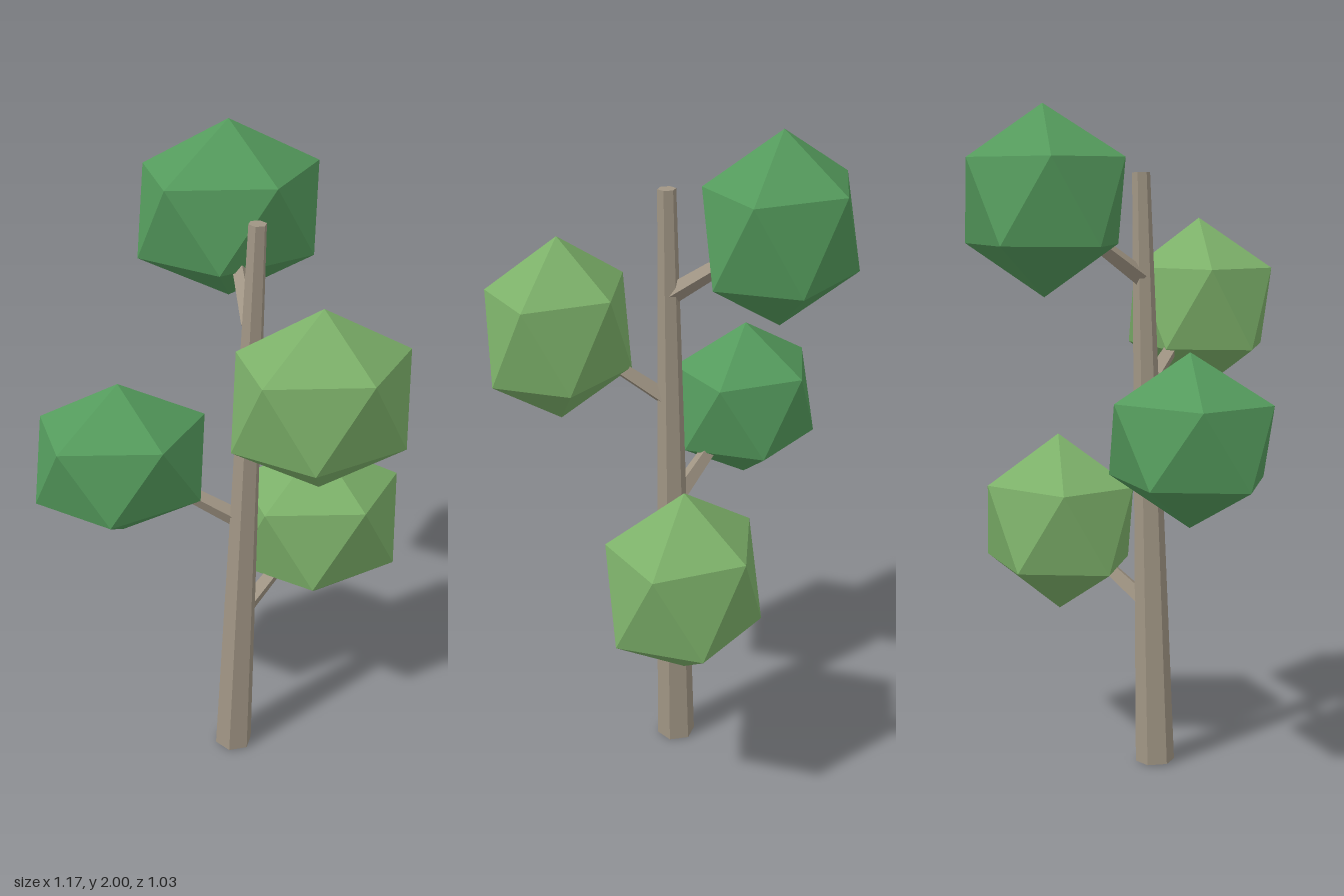
import * as THREE from 'three';

const mat = (color) => new THREE.MeshStandardMaterial({ color, flatShading: true });

// Tapered straight limb between two points
function limb(name, from, to, r0, r1, sides, material) {
  const a = new THREE.Vector3(...from);
  const b = new THREE.Vector3(...to);
  const dir = b.clone().sub(a);
  const geo = new THREE.CylinderGeometry(r1, r0, dir.length(), sides);
  geo.rotateY(Math.PI / 2); // corners point along x
  const mesh = new THREE.Mesh(geo, material);
  mesh.name = name;
  mesh.position.copy(a).add(b).multiplyScalar(0.5);
  mesh.quaternion.setFromUnitVectors(new THREE.Vector3(0, 1, 0), dir.normalize());
  return mesh;
}

export function createModel() {
  const tree = new THREE.Group();
  tree.name = 'tree';
  const bark = mat(0xa09584);
  const lightLeaf = mat(0x7cb069);
  const darkLeaf = mat(0x549a5c);

  // Leaning six-sided trunk
  tree.add(limb('trunk', [-0.005, 0.003, 0.026], [0.064, 1.808, 0.026], 0.06, 0.027, 6, bark));

  // Icosahedron standing on one corner, upper ring corner towards +x
  const clumpGeo = new THREE.IcosahedronGeometry(1, 0);
  clumpGeo.rotateZ(-Math.atan(2 / (1 + Math.sqrt(5))));

  // Each branch starts inside the trunk and ends in its leaf clump
  const clumps = [
    { name: 'top', start: [0.05, 1.5, 0.015], centre: [0.081, 1.725, -0.313], size: [0.314, 0.275, 0.238], leaf: darkLeaf },
    { name: 'front', start: [0.035, 1.165, 0.025], centre: [0.157, 1.395, 0.325], size: [0.29, 0.275, 0.227], leaf: lightLeaf },
    { name: 'right', start: [0.02, 0.85, 0.015], centre: [-0.322, 1.06, -0.096], size: [0.294, 0.25, 0.241], leaf: darkLeaf },
    { name: 'left', start: [0.025, 0.505, 0.015], centre: [0.314, 0.725, -0.11], size: [0.3, 0.28, 0.246], leaf: lightLeaf },
  ];
  for (const { name, start, centre, size, leaf } of clumps) {
    tree.add(limb(name + 'Branch', start, centre, 0.029, 0.018, 4, bark));
    const clump = new THREE.Mesh(clumpGeo, leaf);
    clump.name = name + 'LeafClump';
    clump.position.set(...centre);
    clump.scale.set(...size);
    tree.add(clump);
  }
  return tree;
}
